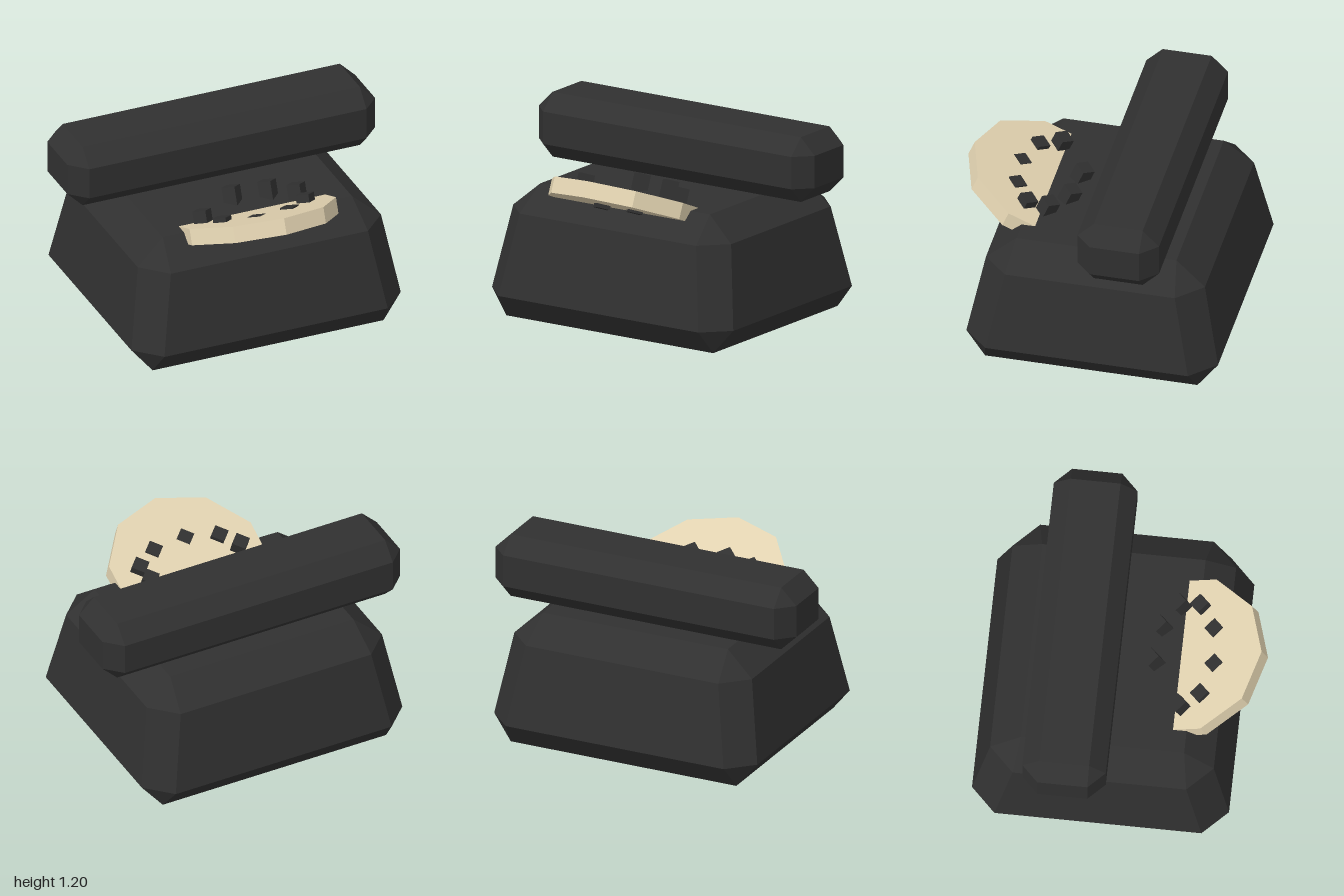
import * as THREE from 'three';

const TILT = THREE.MathUtils.degToRad(-22.6);

// Flat-faced copy of a geometry
function faceted(geometry) {
  const flat = geometry.index ? geometry.toNonIndexed() : geometry;
  flat.computeVertexNormals();
  return flat;
}

// Rectangle with cut corners, counterclockwise seen from above
function ring({ y, x, front, back, cut }) {
  return [
    [x - cut, y, front], [x, y, front - cut],
    [x, y, back + cut], [x - cut, y, back],
    [cut - x, y, back], [-x, y, back + cut],
    [-x, y, front - cut], [cut - x, y, front],
  ].map((p) => new THREE.Vector3(...p));
}

// Closed bevelled block lofted through stacked rings
function bevelledBlock(sections) {
  const rings = sections.map(ring);
  const points = [];
  const tri = (a, b, c) => {
    if (!a.equals(b) && !b.equals(c) && !c.equals(a)) points.push(a, b, c);
  };
  for (let r = 0; r < rings.length - 1; r++) {
    for (let i = 0; i < 8; i++) {
      const j = (i + 1) % 8;
      tri(rings[r][i], rings[r][j], rings[r + 1][j]);
      tri(rings[r][i], rings[r + 1][j], rings[r + 1][i]);
    }
  }
  const bottom = rings[0];
  const top = rings[rings.length - 1];
  for (let i = 1; i < 7; i++) {
    tri(top[0], top[i], top[i + 1]);
    tri(bottom[0], bottom[i + 1], bottom[i]);
  }
  return faceted(new THREE.BufferGeometry().setFromPoints(points));
}

export function createModel() {
  const model = new THREE.Group();
  model.name = 'telephone';
  const black = new THREE.MeshStandardMaterial({ color: 0x303030 });
  black.name = 'black';
  const cream = new THREE.MeshStandardMaterial({ color: 0xe1d2b0 });
  cream.name = 'cream';

  const add = (name, geometry, material, parent = model) => {
    const mesh = new THREE.Mesh(geometry, material);
    mesh.name = name;
    parent.add(mesh);
    return mesh;
  };

  // Tapered body
  add('body', bevelledBlock([
    { y: 0, x: 0.75, front: 0.57, back: -0.73, cut: 0 },
    { y: 0.15, x: 0.875, front: 0.69, back: -0.85, cut: 0.15 },
    { y: 0.65, x: 0.79, front: 0.59, back: -0.75, cut: 0.15 },
    { y: 0.8, x: 0.615, front: 0.41, back: -0.57, cut: 0 },
  ]), black);

  // Handset bar resting on the body
  add('handset', bevelledBlock([
    { y: 0.8, x: 0.9, front: -0.13, back: -0.43, cut: 0 },
    { y: 0.9, x: 1, front: -0.03, back: -0.53, cut: 0.1 },
    { y: 1.1, x: 1, front: -0.03, back: -0.53, cut: 0.1 },
    { y: 1.2, x: 0.9, front: -0.13, back: -0.43, cut: 0 },
  ]), black);

  // Tilted dial, half sunk into the body
  const dial = add('dial', faceted(new THREE.CylinderGeometry(0.5, 0.5, 0.1, 10)), cream);
  dial.position.set(0, 0.762, 0.367);
  dial.rotation.x = TILT;

  // Finger holes as tilted studs on a level oval
  const holes = new THREE.Group();
  holes.name = 'fingerHoles';
  model.add(holes);
  const stud = faceted(new THREE.CylinderGeometry(0.06, 0.06, 0.125, 4));
  for (let i = 0; i < 8; i++) {
    const angle = THREE.MathUtils.degToRad(180 - i * 40);
    const hole = add('fingerHole', stud, black, holes);
    hole.position.set(0.33 * Math.cos(angle), 0.826, 0.359 + 0.195 * Math.sin(angle));
    hole.rotation.x = TILT;
  }
  return model;
}
